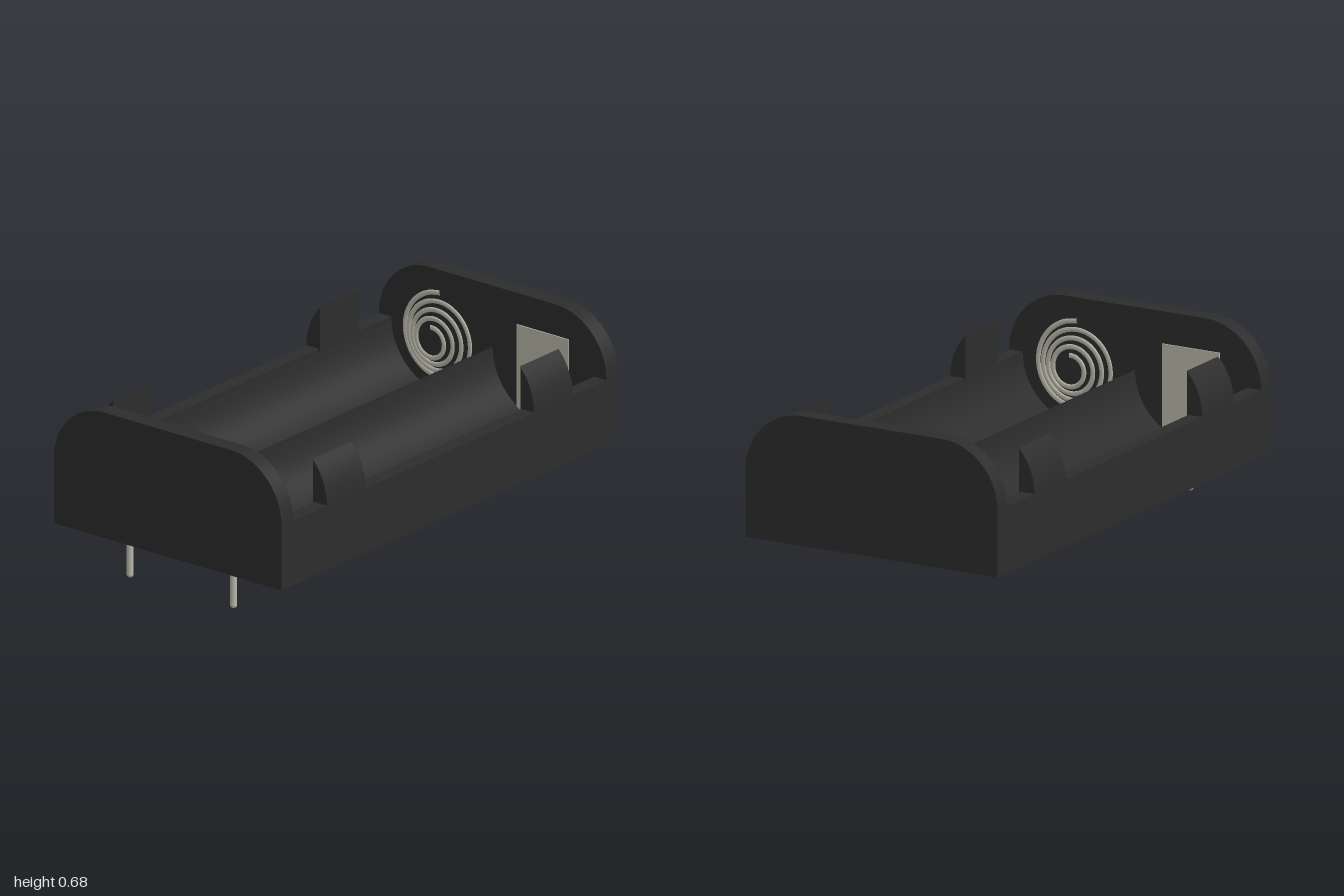
import * as THREE from 'three';
import { toCreasedNormals } from 'three/addons/utils/BufferGeometryUtils.js';

const BASE = 0.17, RIM = 0.43, TOP = 0.675; // heights of underside, rim and end walls
const HALF_Z = 0.55, INNER_X = 0.93;
const R = 0.245, HOLE = 0.058;              // trough radius (also its centre offset), hole radius
const CORNER = TOP - RIM;                   // rounding of the outer profile

const plastic = new THREE.MeshStandardMaterial({ color: 0x2c2c2c });
const plasticThin = new THREE.MeshStandardMaterial({ color: 0x2c2c2c, side: THREE.DoubleSide });
const metal = new THREE.MeshStandardMaterial({ color: 0xb8b6a8 });

function add(parent, name, geometry, material, x = 0, y = 0, z = 0) {
  const mesh = new THREE.Mesh(geometry, material);
  mesh.name = name;
  mesh.position.set(x, y, z);
  parent.add(mesh);
  return mesh;
}

// Extrude a side profile along x, centred on x = 0 (profile +X becomes -z)
function extrudeX(shape, width) {
  const geo = new THREE.ExtrudeGeometry(shape, { depth: width, bevelEnabled: false, curveSegments: 24 });
  geo.translate(0, 0, -width / 2).rotateY(Math.PI / 2);
  return toCreasedNormals(geo, 0.5);
}

// Half of a trough, from its lowest line (or the hole's edge) out to the rim
function halfTrough(sign) {
  const xs = [-INNER_X];
  for (let k = 0; k <= 24; k++) xs.push(-HOLE * Math.cos((Math.PI * k) / 24));
  xs.push(INNER_X);
  const rows = 20, pos = [], nor = [], index = [];
  xs.forEach((x, i) => {
    const gap = Math.sqrt(Math.max(0, HOLE * HOLE - x * x));
    const start = Math.asin(gap / R);
    for (let j = 0; j <= rows; j++) {
      const a = start + (Math.PI / 2 - start) * (j / rows);
      pos.push(x, RIM - R * Math.cos(a), sign * R * Math.sin(a));
      nor.push(0, Math.cos(a), -sign * Math.sin(a));
      if (i < xs.length - 1 && j < rows) {
        const p = i * (rows + 1) + j, q = p + rows + 1;
        if (sign > 0) index.push(p, p + 1, q, q, p + 1, q + 1);
        else index.push(p, q, p + 1, q, q + 1, p + 1);
      }
    }
  });
  const geo = new THREE.BufferGeometry();
  geo.setAttribute('position', new THREE.Float32BufferAttribute(pos, 3));
  geo.setAttribute('normal', new THREE.Float32BufferAttribute(nor, 3));
  geo.setIndex(index);
  return geo;
}

// Wall of a floor hole, its upper edge following the trough
function holeWall() {
  const geo = new THREE.CylinderGeometry(HOLE, HOLE, 1, 48, 1, true);
  const p = geo.attributes.position;
  for (let i = 0; i < p.count; i++) {
    const z = p.getZ(i);
    p.setY(i, p.getY(i) > 0 ? RIM - Math.sqrt(R * R - z * z) : BASE);
  }
  return geo;
}

// Conical coil, widest at the wall, flattened along its axis
function springGeometry() {
  const turns = 4, points = [];
  for (let i = 0; i <= turns * 20; i++) {
    const t = i / (turns * 20), a = t * turns * Math.PI * 2;
    const r = 0.175 - 0.12 * t;
    points.push(new THREE.Vector3(t * 0.13, r * Math.cos(a), r * Math.sin(a)));
  }
  const curve = new THREE.CatmullRomCurve3(points);
  return new THREE.TubeGeometry(curve, 240, 0.01, 8).scale(0.45, 1, 1);
}

export function createModel() {
  const model = new THREE.Group();
  model.name = 'batteryHolder';

  // End walls with rounded upper corners
  const wall = new THREE.Shape();
  wall.moveTo(-HALF_Z, BASE);
  wall.lineTo(HALF_Z, BASE);
  wall.lineTo(HALF_Z, RIM);
  wall.absarc(HALF_Z - CORNER, RIM, CORNER, 0, Math.PI / 2);
  wall.absarc(CORNER - HALF_Z, RIM, CORNER, Math.PI / 2, Math.PI);
  const wallGeo = extrudeX(wall, 1 - INNER_X);
  for (const s of [-1, 1]) add(model, 'endWall', wallGeo, plastic, s * (1 + INNER_X) / 2);

  // Side rails
  const railWidth = HALF_Z - 2 * R;
  const railGeo = new THREE.BoxGeometry(2 * INNER_X, RIM - BASE, railWidth);
  for (const s of [-1, 1]) add(model, 'sideRail', railGeo, plastic, 0, (RIM + BASE) / 2, s * (HALF_Z - railWidth / 2));

  // Underside with two round holes
  const under = new THREE.Shape();
  under.moveTo(-INNER_X, -2 * R);
  under.lineTo(INNER_X, -2 * R);
  under.lineTo(INNER_X, 2 * R);
  under.lineTo(-INNER_X, 2 * R);
  for (const s of [-1, 1]) {
    under.holes.push(new THREE.Path().absarc(0, s * R, HOLE, 0, Math.PI * 2, true));
  }
  const underGeo = new THREE.ShapeGeometry(under, 24).rotateX(Math.PI / 2);
  add(model, 'underside', underGeo, plastic, 0, BASE, 0);

  // Twin troughs and their holes
  const halves = [halfTrough(-1), halfTrough(1)];
  const holeGeo = holeWall();
  for (const s of [-1, 1]) {
    for (const half of halves) add(model, 'trough', half, plastic, 0, 0, s * R);
    add(model, 'floorHole', holeGeo, plasticThin, 0, 0, s * R);
  }

  // Retaining tabs: flat inside, curved outside
  const tab = new THREE.Shape();
  tab.moveTo(0.484, RIM - 0.01);
  tab.lineTo(HALF_Z, RIM - 0.01);
  tab.lineTo(HALF_Z, RIM);
  tab.absarc(HALF_Z - CORNER, RIM, CORNER, 0, Math.asin(0.17 / CORNER));
  tab.lineTo(0.484, 0.6);
  const tabGeo = extrudeX(tab, 0.23);
  for (const x of [-0.615, 0.615]) {
    add(model, 'retainingTab', tabGeo, plastic, x);
    add(model, 'retainingTab', tabGeo, plastic, x).rotation.y = Math.PI;
  }

  // Spring and plate at each end, swapped between the ends
  const springGeo = springGeometry();
  const plateGeo = new THREE.BoxGeometry(0.014, 0.378, 0.25);
  for (const turn of [0, Math.PI]) {
    const contacts = new THREE.Group();
    contacts.name = 'endContacts';
    contacts.rotation.y = turn;
    add(contacts, 'spring', springGeo, metal, -0.926, 0.41, 0.25);
    add(contacts, 'contactPlate', plateGeo, metal, -0.932, 0.361, -0.245);
    model.add(contacts);
  }

  // Solder pins under one end
  const pinGeo = new THREE.CapsuleGeometry(0.0135, 0.153, 6, 16);
  for (const s of [-1, 1]) add(model, 'solderPin', pinGeo, metal, -0.915, 0.09, s * 0.25);

  return model;
}
